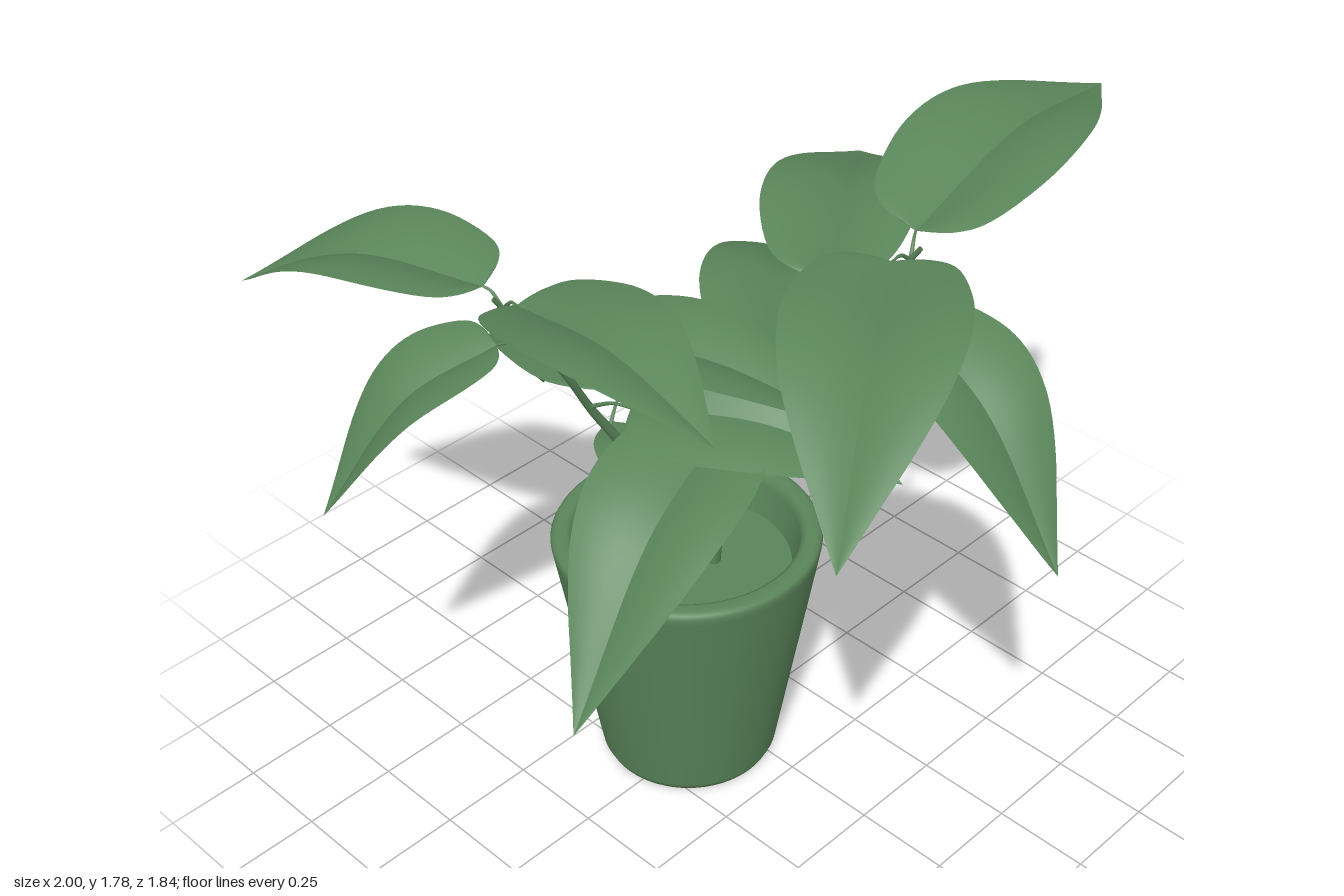
import * as THREE from 'three';

const green = new THREE.MeshStandardMaterial({ color: 0x5a855a, side: THREE.DoubleSide });
const V = (a) => new THREE.Vector3(...a);

function addMesh(group, name, geometry) {
  const mesh = new THREE.Mesh(geometry, green);
  mesh.name = name;
  group.add(mesh);
  return mesh;
}

// Tube whose radius shrinks from r0 to r1
function taperedTube(curve, segs, r0, r1, sides) {
  const geo = new THREE.TubeGeometry(curve, segs, r0, sides, false);
  const pos = geo.attributes.position, p = new THREE.Vector3();
  for (let i = 0; i < pos.count; i++) {
    const t = Math.floor(i / (sides + 1)) / segs;
    const centre = curve.getPointAt(t);
    p.fromBufferAttribute(pos, i).sub(centre);
    p.multiplyScalar(1 + (r1 / r0 - 1) * t).add(centre);
    pos.setXYZ(i, p.x, p.y, p.z);
  }
  return geo;
}

// Half-width of the blade from stalk to tip
const outline = new THREE.SplineCurve([
  [0, 0], [0.015, 0.45], [0.08, 0.76], [0.25, 0.97], [0.4, 1], [0.55, 0.89],
  [0.7, 0.64], [0.85, 0.32], [1, 0],
].map(([t, w]) => new THREE.Vector2(t, w)));

// Arched blade, folded upwards along the midrib and rolled about it
function bladeGeometry(base, tip, arch, halfWidth, roll) {
  const mid = base.clone().lerp(tip, 0.5);
  mid.y += arch;
  const rib = new THREE.CatmullRomCurve3([base, mid, tip]);
  const flat = new THREE.Vector3(tip.x - base.x, 0, tip.z - base.z).normalize();
  const side = new THREE.Vector3(0, 1, 0).cross(flat).applyAxisAngle(flat, roll);
  const rows = 32, cols = 6, verts = [], index = [];
  for (const sign of [1, -1]) {
    const start = verts.length / 3;
    for (let i = 0; i <= rows; i++) {
      const o = outline.getPoint(i / rows);
      const t = THREE.MathUtils.clamp(o.x, 0, 1);
      const w = Math.max(o.y, 0) * halfWidth;
      const c = rib.getPoint(t);
      const up = rib.getTangent(t).cross(side).normalize();
      for (let j = 0; j <= cols; j++) {
        const s = j / cols;
        const p = c.clone().addScaledVector(side, sign * w * s)
          .addScaledVector(up, w * (0.5 * s - 0.27 * s * s));
        verts.push(p.x, p.y, p.z);
        if (i < rows && j < cols) {
          const a = start + i * (cols + 1) + j, b = a + 1, d = a + cols + 1, e = d + 1;
          if (sign > 0) index.push(a, d, b, b, d, e);
          else index.push(a, b, d, b, e, d);
        }
      }
    }
  }
  const geo = new THREE.BufferGeometry();
  geo.setAttribute('position', new THREE.Float32BufferAttribute(verts, 3));
  geo.setIndex(index);
  geo.computeVertexNormals();
  return geo;
}

// Point of a stem at a given height
function stemPoint(curve, y) {
  let best = curve.getPoint(0);
  for (let i = 0; i <= 60; i++) {
    const p = curve.getPoint(i / 60);
    if (Math.abs(p.y - y) < Math.abs(best.y - y)) best = p;
  }
  return best;
}

// Leaf from base to tip; longer and more drooping leaves are wider and arch more
function addLeaf(plant, stem, base, tip, roll) {
  const leaf = new THREE.Group();
  leaf.name = 'leaf';
  const length = base.distanceTo(tip);
  const arch = 0.075 * length + 0.13 * Math.max(base.y - tip.y, 0);
  addMesh(leaf, 'blade', bladeGeometry(base, tip, arch, 0.03 + 0.2 * length, roll));
  const from = stemPoint(stem, base.y - 0.04);
  const bend = from.clone().lerp(base, 0.6);
  bend.y += 0.012;
  const path = new THREE.CatmullRomCurve3([from, bend, base]);
  addMesh(leaf, 'leafStalk', taperedTube(path, 10, 0.006, 0.003, 6));
  plant.add(leaf);
}

function addPlant(model, name, stemPoints, leaves) {
  const plant = new THREE.Group();
  plant.name = name;
  const stem = new THREE.CatmullRomCurve3(stemPoints.map(V));
  addMesh(plant, 'stem', taperedTube(stem, 40, 0.017, 0.006, 8));
  for (const [base, tip, roll = 0] of leaves) addLeaf(plant, stem, V(base), V(tip), roll);
  model.add(plant);
}

export function createModel() {
  const model = new THREE.Group();
  model.name = 'pottedPlant';

  // Pot with a recessed underside and rounded rim
  const potProfile = [
    [0, 0.05], [0.13, 0.05], [0.155, 0.04], [0.17, 0.01], [0.18, 0], [0.208, 0],
    [0.222, 0.006], [0.231, 0.025], [0.337, 0.66], [0.34, 0.68], [0.335, 0.69],
    [0.325, 0.695], [0.3, 0.695], [0.288, 0.688], [0.283, 0.67], [0.262, 0.57],
  ].map(([r, y]) => new THREE.Vector2(r, y));
  addMesh(model, 'pot', new THREE.LatheGeometry(potProfile, 64)).position.set(-0.042, 0, 0.09);

  // Soil
  const soil = addMesh(model, 'soil', new THREE.CircleGeometry(0.27, 48));
  soil.rotation.x = -Math.PI / 2;
  soil.position.set(-0.042, 0.585, 0.09);

  // Stem leaning to the front; each leaf has a base, a tip and sometimes a roll
  addPlant(model, 'leftPlant',
    [[-0.125, 0.56, 0.06], [-0.155, 0.9, 0.17], [-0.165, 1.09, 0.28],
      [-0.15, 1.26, 0.38], [-0.175, 1.51, 0.54]],
    [
      [[-0.21, 1.05, 0.14], [-1, 0.49, -0.28]],
      [[-0.22, 1.52, 0.53], [-0.89, 1.33, 0.72]],
      [[-0.11, 1.52, 0.53], [0.58, 1.535, 0.62]],
      [[-0.19, 1.38, 0.53], [-0.37, 1.02, 0.92]],
      [[-0.11, 1.37, 0.4], [0.5, 1.28, 0.11]],
      [[-0.05, 1.14, 0.26], [0.52, 1.05, -0.05], 0.4],
      [[-0.09, 0.89, 0.2], [0.13, 0.91, 0.2], 0.25],
      [[-0.2, 0.71, 0.06], [-0.51, 0.7, -0.08]],
    ]);

  // Stem leaning to the left
  addPlant(model, 'rightPlant',
    [[0, 0.56, 0.04], [0.06, 0.95, 0.04], [0.28, 1.25, 0.01],
      [0.36, 1.42, -0.03], [0.52, 1.67, -0.06]],
    [
      [[0.465, 1.67, -0.11], [0.36, 1.69, -0.92]],
      [[0.51, 1.67, 0.02], [0.94, 1.45, 0.67]],
      [[0.5, 1.5, -0.04], [1, 1.09, 0.01]],
      [[0.26, 1.48, -0.06], [-0.18, 1.4, -0.68]],
      [[0.12, 1.24, -0.02], [-0.35, 1.06, -0.64]],
      [[0.13, 1.12, 0.12], [0.29, 0.68, 0.78]],
      [[0.06, 0.97, -0.08], [0.04, 0.875, -0.53]],
      [[0, 0.71, 0.13], [0, 0.72, 0.51]],
    ]);
  return model;
}
